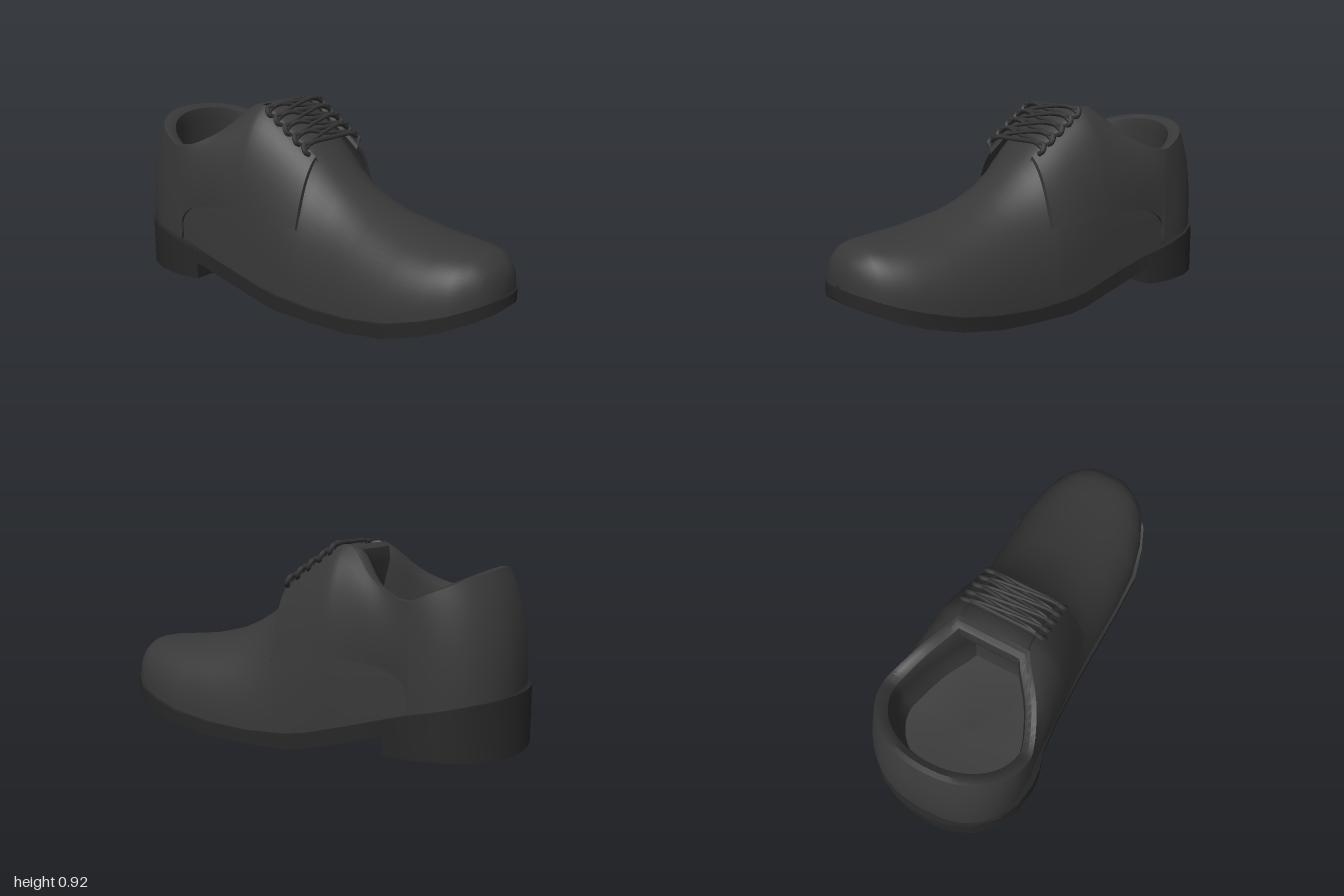
import * as THREE from 'three';
import { toCreasedNormals } from 'three/addons/utils/BufferGeometryUtils.js';

const V = (x, y, z) => new THREE.Vector3(x, y, z);
const material = (name, color) => {
  const m = new THREE.MeshStandardMaterial({ color, side: THREE.DoubleSide });
  m.name = name;
  return m;
};

// Slight sideways bend of the last, shared by every part
const bend = (p) => V(p.x + 0.012 * Math.exp(-(((p.z - 0.05) / 0.35) ** 2)), p.y, p.z);

// Surface through rows of points
function loft(name, rows, mat, crease = 0.7) {
  const n = rows[0].length, pos = [], index = [];
  rows.forEach((row) => row.forEach((p) => pos.push(...bend(p).toArray())));
  for (let i = 0; i < rows.length - 1; i++) {
    for (let j = 0; j < n - 1; j++) {
      const a = i * n + j, b = a + n;
      index.push(a, a + 1, b, b, a + 1, b + 1);
    }
  }
  const g = new THREE.BufferGeometry();
  g.setAttribute('position', new THREE.Float32BufferAttribute(pos, 3));
  g.setIndex(index);
  const mesh = new THREE.Mesh(toCreasedNormals(g.toNonIndexed(), crease), mat);
  mesh.name = name;
  return mesh;
}

// Interpolate a table whose first column is z, falling
function lookup(table, z) {
  let i = 0;
  while (i < table.length - 2 && table[i + 1][0] > z) i++;
  const [a, b] = [table[i], table[i + 1]];
  const t = THREE.MathUtils.clamp((a[0] - z) / (a[0] - b[0]), 0, 1);
  return a.map((v, k) => v + (b[k] - v) * t);
}

// z, half width, bottom, top
const SOLE = [
  [1.0, 0.03, 0.185, 0.232], [0.985, 0.09, 0.172, 0.227], [0.95, 0.165, 0.155, 0.215],
  [0.85, 0.268, 0.115, 0.177], [0.75, 0.31, 0.08, 0.145], [0.6, 0.348, 0.043, 0.105],
  [0.4, 0.35, 0.012, 0.075], [0.2, 0.347, 0.002, 0.062], [0, 0.343, 0, 0.07],
  [-0.1, 0.342, 0.015, 0.085], [-0.3, 0.343, 0.068, 0.14], [-0.45, 0.355, 0.115, 0.185],
  [-0.5, 0.366, 0.13, 0.2],
];
const HEEL = [
  [-0.49, 0.365, 0.05, 0.197], [-0.55, 0.381, 0.05, 0.215], [-0.63, 0.388, 0.05, 0.237],
  [-0.75, 0.37, 0.05, 0.262], [-0.85, 0.325, 0.05, 0.285], [-0.94, 0.235, 0.05, 0.3],
  [-0.985, 0.13, 0.05, 0.308], [-1, 0.04, 0.05, 0.31],
];
const soleTop = (z) => lookup([...SOLE.slice(0, -1), ...HEEL], z)[3];

// z, half width, ridge height, roundness of the arch
const LAST = [
  [0.978, 0.03, 0.28, 2.5], [0.97, 0.1, 0.325, 2.5], [0.95, 0.15, 0.362, 2.5],
  [0.9, 0.215, 0.395, 2.5], [0.85, 0.252, 0.405, 2.5], [0.75, 0.295, 0.413, 2.5],
  [0.6, 0.33, 0.43, 2.4], [0.4, 0.335, 0.477, 2.3], [0.3, 0.333, 0.52, 2.2],
  [0.2, 0.331, 0.58, 2.1], [0.1, 0.33, 0.665, 2.1], [0, 0.33, 0.77, 2.4],
  [-0.1, 0.332, 0.845, 2.7], [-0.2, 0.335, 0.915, 3], [-0.25, 0.338, 0.915, 3],
  [-0.62, 0.35, 0.9, 3],
];

// Arch of the last at z, between two angles
function arch(z, from, to, n, drop = 0) {
  const [, w, h, p] = lookup(LAST, z), b = soleTop(z) - 0.012;
  return Array.from({ length: n + 1 }, (_, i) => {
    const t = from + ((to - from) * i) / n, c = Math.cos(t), s = Math.max(0, Math.sin(t));
    return V(w * Math.sign(c) * Math.abs(c) ** (2 / p), b + (h - b) * s ** (2 / p) - drop, z);
  });
}

function archX(z, y) {
  const [, w, h, p] = lookup(LAST, z), b = soleTop(z) - 0.012;
  return w * (1 - Math.max(0, (y - b) / (h - b)) ** p) ** (1 / p);
}

// Solid slab from a table of sections, closed at both ends
function slab(name, table, mat) {
  const rows = table.map(([z, w, lo, hi]) => [V(w, lo, z), V(w, hi, z), V(-w, hi, z), V(-w, lo, z), V(w, lo, z)]);
  const cap = ([z, , lo, hi]) => Array.from({ length: 5 }, () => V(0, (lo + hi) / 2, z));
  return loft(name, [cap(table[0]), ...rows, cap(table.at(-1))], mat, 0.6);
}

// Columns of the quarters: lower edge, bulge and top edge
function quarterColumns() {
  const low = [], mid = [], top = [];
  // z, lower y, bulge x, bulge y, top x, top y
  [
    [0.08, 0.395, 0.245, 0.64, 0.155, 0.705], [-0.05, 0.405, 0.28, 0.745, 0.16, 0.804],
    [-0.2, 0.425, 0.325, 0.81, 0.162, 0.905], [-0.25, 0.43, 0.337, 0.79, 0.17, 0.905],
    [-0.4, 0.425, 0.363, 0.68, 0.278, 0.775], [-0.53, 0.395, 0.372, 0.56, 0.34, 0.71],
    [-0.59, 0.34, 0.37, 0.53, 0.358, 0.7], [-0.61, 0.22, 0.368, 0.52, 0.36, 0.702],
  ].forEach(([z, y, mx, my, tx, ty]) => {
    low.push(V(archX(z, y) + 0.012, y, z));
    mid.push(V(mx, my, z));
    top.push(V(tx, ty, z));
  });
  for (let i = 1; i <= 7; i++) {
    const a = (i / 7) * Math.PI / 2, s = Math.sin(a), c = i === 7 ? 0 : Math.cos(a);
    const z = -0.6 - 0.375 * s ** 0.8;
    low.push(V(0.362 * c ** 0.8, soleTop(z) - 0.02, z));
    mid.push(V(0.37 * c ** 0.8, 0.52 + 0.1 * s, -0.6 - 0.39 * s ** 0.8));
    top.push(V(0.36 * c ** 0.95, 0.7 + 0.122 * s, -0.6 - 0.285 * s ** 0.95));
  }
  const curves = [low, mid, top].map((p) => new THREE.CatmullRomCurve3(p));
  const n = (low.length - 1) * 4;
  const half = Array.from({ length: n + 1 }, (_, i) => {
    const [b, c, t] = curves.map((k) => k.getPoint(i / n));
    const wall = new THREE.QuadraticBezierCurve3(b, c, t).getPoints(10);
    return [V(b.x * 0.95, b.y, b.z + (b.z < -0.62 ? 0.015 : 0)), ...wall, V(t.x * 0.95, t.y - 0.02, t.z)];
  });
  // Turned-in front edge
  half.unshift(half[0].map((p) => V(p.x * 0.94, p.y - 0.012, p.z)));
  const flip = half.slice(0, -1).reverse().map((col) => col.map((p) => V(-p.x, p.y, p.z)));
  return [...half, ...flip];
}

export function createModel() {
  const shoe = new THREE.Group();
  shoe.name = 'shoe';
  const leather = material('black leather', 0x383838);
  const rubber = material('dark sole', 0x272727);
  const cord = material('lace cord', 0x343434);

  // Sole and heel
  shoe.add(slab('sole', SOLE, rubber), slab('heel', HEEL, rubber));

  // Vamp, closed at the toe
  const vampZ = [...LAST.map((r) => r[0]).filter((z) => z > 0.05), 0.05];
  const toeEnd = Array.from({ length: 33 }, () => V(0, 0.24, 0.979));
  shoe.add(loft('vamp', [toeEnd, ...vampZ.map((z) => arch(z, 0, Math.PI, 32))], leather));

  // Lower sides below the quarter seam
  const sideZ = Array.from({ length: 12 }, (_, i) => 0.05 - (0.67 * i) / 11);
  shoe.add(loft('leftLowerSide', sideZ.map((z) => arch(z, 0, 0.6, 8)), leather));
  shoe.add(loft('rightLowerSide', sideZ.map((z) => arch(z, Math.PI - 0.6, Math.PI, 8)), leather));

  // Tongue
  const tongueZ = [0.11, 0.05, 0, -0.05, -0.1, -0.15, -0.2, -0.25];
  shoe.add(loft('tongue', tongueZ.map((z) => arch(z, 0.95, Math.PI - 0.95, 16, 0.008)), leather));

  // Quarters wrapping the heel
  const columns = quarterColumns();
  shoe.add(loft('quarters', columns, leather));

  // Padded collar and lining
  const rim = columns.map((c) => c[11]).filter((p) => p.z < -0.245);
  rim.push(rim[0]);
  const ring = (s, y, reach = 1) => rim.map((p) => {
    const dz = p.z + 0.55;
    return V(p.x * s, y(p.y), -0.55 + dz * s * (dz > 0 ? reach : 1));
  });
  shoe.add(loft('collarLining', [
    ring(1, (y) => y), ring(0.93, (y) => y + 0.002), ring(0.85, (y) => y - 0.018),
    ring(0.83, (y) => y - 0.08), ring(0.86, (y) => 0.4 + y * 0.2, 1.2), ring(0.86, () => 0.4, 1.4),
    ring(0.8, () => 0.3, 1.4), ring(0, () => 0.28),
  ], leather));

  // Laces: straight bars, crossings and end loops
  const laces = new THREE.Group();
  laces.name = 'laces';
  const laceY = (z) => 0.79 - 0.68 * z;
  const lace = (name, points, r = 0.011) => {
    const path = new THREE.CatmullRomCurve3(points.map(bend));
    const mesh = new THREE.Mesh(new THREE.TubeGeometry(path, 20, r, 7), cord);
    mesh.name = name;
    laces.add(mesh);
  };
  const rows = [0.045, -0.01, -0.065, -0.12, -0.17];
  rows.forEach((z, i) => {
    const y = laceY(z);
    lace('laceBar', [V(-0.185, y - 0.02, z), V(-0.15, y, z), V(0, y + 0.005, z), V(0.15, y, z), V(0.185, y - 0.02, z)]);
    for (const s of [-1, 1]) {
      lace('laceLoop', [V(s * 0.155, y, z), V(s * 0.188, y - 0.003, z - 0.005),
        V(s * 0.196, y - 0.03, z + 0.008), V(s * 0.175, y - 0.045, z + 0.015)], 0.012);
      if (i === rows.length - 1) continue;
      const z2 = rows[i + 1], y2 = laceY(z2), lift = s > 0 ? 0.016 : 0.004;
      lace('laceCrossing', [V(-s * 0.18, y - 0.008, z), V(-s * 0.12, y + 0.012, z - 0.008),
        V(0, (y + y2) / 2 + lift, (z + z2) / 2), V(s * 0.12, y2 + 0.008, z2 + 0.008), V(s * 0.18, y2 - 0.008, z2)], 0.009);
    }
  });
  shoe.add(laces);
  return shoe;
}
